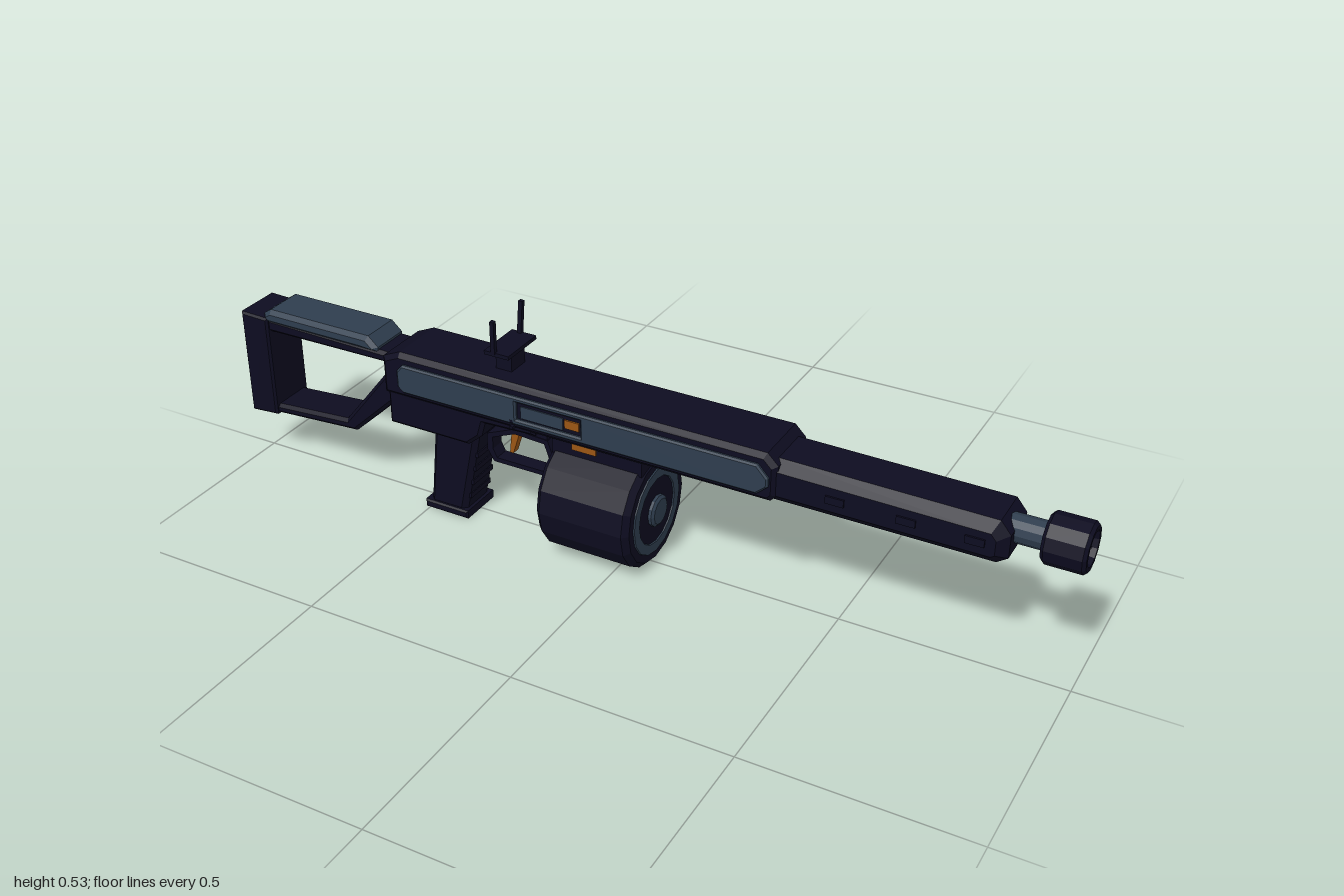
import * as THREE from 'three';

const dark = new THREE.MeshStandardMaterial({ name: 'dark navy', color: 0x0d0c20 });
const slate = new THREE.MeshStandardMaterial({ name: 'slate', color: 0x2e3d4e });
const orange = new THREE.MeshStandardMaterial({ name: 'orange', color: 0x9a5514 });

export function createModel() {
  const model = new THREE.Group();
  model.name = 'model';

  const add = (name, geometry, material) => {
    const mesh = new THREE.Mesh(geometry, material);
    mesh.name = name;
    model.add(mesh);
    return mesh;
  };
  const box = (name, x0, x1, y0, y1, z0, z1, material) => {
    const g = new THREE.BoxGeometry(x1 - x0, y1 - y0, z1 - z0);
    return add(name, g.translate((x0 + x1) / 2, (y0 + y1) / 2, (z0 + z1) / 2), material);
  };
  const outline = (pts, Type = THREE.Shape) => new Type(pts.map(([x, y]) => new THREE.Vector2(x, y)));

  // Side profile extruded across z, with chamfered edges
  const slab = (name, pts, z0, z1, bevel, material, hole) => {
    const shape = outline(pts);
    if (hole) shape.holes.push(outline(hole, THREE.Path));
    const g = new THREE.ExtrudeGeometry(shape, {
      depth: z1 - z0 - 2 * bevel, bevelEnabled: bevel > 0,
      bevelThickness: bevel, bevelSize: bevel, bevelOffset: -bevel, bevelSegments: 1,
    });
    return add(name, g.translate(0, 0, z0 + bevel), material);
  };

  // Turned part along x: pairs of [x, radius]
  const turned = (name, pts, y, sides, material) => {
    const g = new THREE.LatheGeometry(pts.map(([x, r]) => new THREE.Vector2(r, x)), sides).toNonIndexed();
    g.rotateZ(-Math.PI / 2).translate(0, y, 0);
    g.computeVertexNormals();
    return add(name, g, material);
  };

  // Receiver and its lower housing
  slab('receiver', [[-0.59, 0.29], [0.36, 0.29], [0.375, 0.305], [0.375, 0.375], [0.35, 0.4],
    [-0.545, 0.4], [-0.59, 0.38]], -0.078, 0.078, 0.011, dark);
  slab('lowerReceiver', [[-0.585, 0.21], [-0.375, 0.21], [-0.34, 0.24], [-0.33, 0.275],
    [-0.2, 0.28], [-0.2, 0.31], [-0.585, 0.31]], -0.07, 0.07, 0.008, dark);
  box('magazineWell', -0.16, 0.06, 0.25, 0.3, -0.06, 0.06, dark);
  box('feedStrip', -0.11, -0.05, 0.272, 0.288, -0.063, 0.063, orange);

  // Side panels, the left one with a port
  const panel = [[-0.545, 0.32], [-0.53, 0.308], [0.335, 0.308], [0.36, 0.33], [0.36, 0.35],
    [0.335, 0.377], [-0.53, 0.377], [-0.545, 0.36]];
  slab('leftPanel', panel, 0.074, 0.086, 0.004, slate,
    [[-0.235, 0.322], [-0.235, 0.364], [-0.075, 0.364], [-0.075, 0.322]]);
  slab('rightPanel', panel, -0.086, -0.074, 0.004, slate);
  box('bolt', -0.225, -0.12, 0.326, 0.355, 0.075, 0.081, slate);
  box('portRound', -0.115, -0.08, 0.333, 0.353, 0.075, 0.082, orange);
  box('selector', -0.40, -0.345, 0.296, 0.304, -0.081, -0.076, orange);
  for (const y of [0.3, 0.316]) box('pin', -0.25, -0.242, y - 0.003, y + 0.003, 0.07, 0.087, dark);

  // Charging handle
  box('handleStem', -0.058, -0.032, 0.29, 0.31, -0.09, -0.07, dark);
  slab('chargingHandle', [[-0.072, 0.277], [-0.018, 0.277], [-0.018, 0.321], [-0.072, 0.321]],
    -0.108, -0.086, 0.004, dark);

  // Fore-end with vents and lower rail
  slab('foreEnd', [[0.34, 0.284], [0.83, 0.284], [0.853, 0.3], [0.853, 0.352], [0.83, 0.38],
    [0.34, 0.384]], -0.07, 0.07, 0.022, dark);
  box('lowerRail', 0.1, 0.36, 0.275, 0.293, -0.03, 0.03, dark);
  for (const x of [0.5, 0.65, 0.79]) {
    for (const s of [-1, 1]) box('vent', x - 0.02, x + 0.02, 0.325, 0.342, s * 0.071 - 0.003, s * 0.071 + 0.003, dark);
  }

  // Barrel and muzzle
  turned('barrel', [[0.83, 0], [0.83, 0.03], [0.93, 0.03]], 0.342, 12, slate);
  turned('muzzle', [[0.91, 0], [0.91, 0.048], [0.917, 0.054], [0.993, 0.054], [1, 0.048],
    [1, 0.038], [0.985, 0.034], [0.985, 0]], 0.342, 12, dark);
  turned('bore', [[0.984, 0.02], [0.99, 0.02], [0.99, 0]], 0.342, 12, slate);
  for (let i = 0; i < 6; i++) {
    const g = new THREE.BoxGeometry(0.006, 0.012, 0.005).translate(0, 0.03, 0);
    g.rotateX(i * Math.PI / 3).translate(0.986, 0.342, 0);
    add('muzzleRib', g, dark);
  }

  // Drum magazine with ring and hub
  turned('drum', [[-0.165, 0], [-0.165, 0.122], [-0.152, 0.135], [0.05, 0.135], [0.063, 0.122],
    [0.063, 0]], 0.137, 16, dark);
  turned('drumRing', [[0.06, 0.105], [0.066, 0.103], [0.066, 0.08], [0.06, 0.078]], 0.137, 16, slate);
  turned('drumHub', [[0.06, 0.037], [0.07, 0.037], [0.075, 0.03], [0.075, 0]], 0.137, 12, slate);

  // Shoulder stock with opening, butt and cheek rest
  slab('stock', [[-0.96, 0.128], [-0.7, 0.145], [-0.575, 0.262], [-0.575, 0.376], [-0.96, 0.382]],
    -0.052, 0.052, 0.008, dark,
    [[-0.925, 0.155], [-0.925, 0.347], [-0.592, 0.35], [-0.6, 0.325], [-0.725, 0.17]]);
  slab('butt', [[-1, 0.125], [-0.925, 0.131], [-0.925, 0.384], [-1, 0.386]], -0.06, 0.06, 0.005, dark);
  slab('cheekRest', [[-0.94, 0.37], [-0.62, 0.37], [-0.62, 0.382], [-0.645, 0.405], [-0.92, 0.405],
    [-0.94, 0.392]], -0.056, 0.056, 0.01, slate);

  // Grip with base and front ridges
  slab('grip', [[-0.502, 0.01], [-0.405, 0.01], [-0.362, 0.222], [-0.48, 0.222]], -0.05, 0.05, 0.012, dark);
  slab('gripBase', [[-0.51, 0], [-0.395, 0], [-0.395, 0.02], [-0.51, 0.02]], -0.057, 0.057, 0.004, dark);
  for (let i = 0; i < 4; i++) {
    const x = -0.394 + i * 0.008, y = 0.055 + i * 0.038;
    box('gripRidge', x - 0.02, x + 0.002, y - 0.006, y + 0.006, -0.04, 0.04, dark);
  }

  // Trigger guard and trigger
  slab('triggerGuard', [[-0.34, 0.152], [-0.195, 0.152], [-0.18, 0.195], [-0.198, 0.245],
    [-0.285, 0.25], [-0.357, 0.22], [-0.357, 0.18]], -0.018, 0.018, 0, dark,
    [[-0.332, 0.163], [-0.342, 0.184], [-0.342, 0.214], [-0.283, 0.238], [-0.207, 0.234],
      [-0.193, 0.195], [-0.204, 0.163]]);
  box('guardMount', -0.29, -0.2, 0.24, 0.285, -0.016, 0.016, dark);
  slab('trigger', [[-0.302, 0.182], [-0.293, 0.182], [-0.273, 0.245], [-0.295, 0.245]],
    -0.01, 0.01, 0, orange);

  // Sight base, plate and two upright posts
  box('sightBase', -0.318, -0.278, 0.395, 0.446, -0.027, 0.027, dark);
  box('sightPlate', -0.328, -0.266, 0.445, 0.454, -0.057, 0.057, dark);
  for (const s of [-1, 1]) {
    const post = box('sightPost', -0.005, 0.005, 0, 0.08, -0.005, 0.005, dark);
    post.position.set(-0.305, 0.45, s * 0.053);
    post.rotation.set(s * 0.06, 0, -0.04);
  }

  // Sling loop
  slab('slingLoop', [[0.138, 0.226], [0.167, 0.226], [0.167, 0.256], [0.138, 0.256]],
    -0.079, -0.068, 0, slate,
    [[0.145, 0.233], [0.145, 0.249], [0.16, 0.249], [0.16, 0.233]]);

  return model;
}
